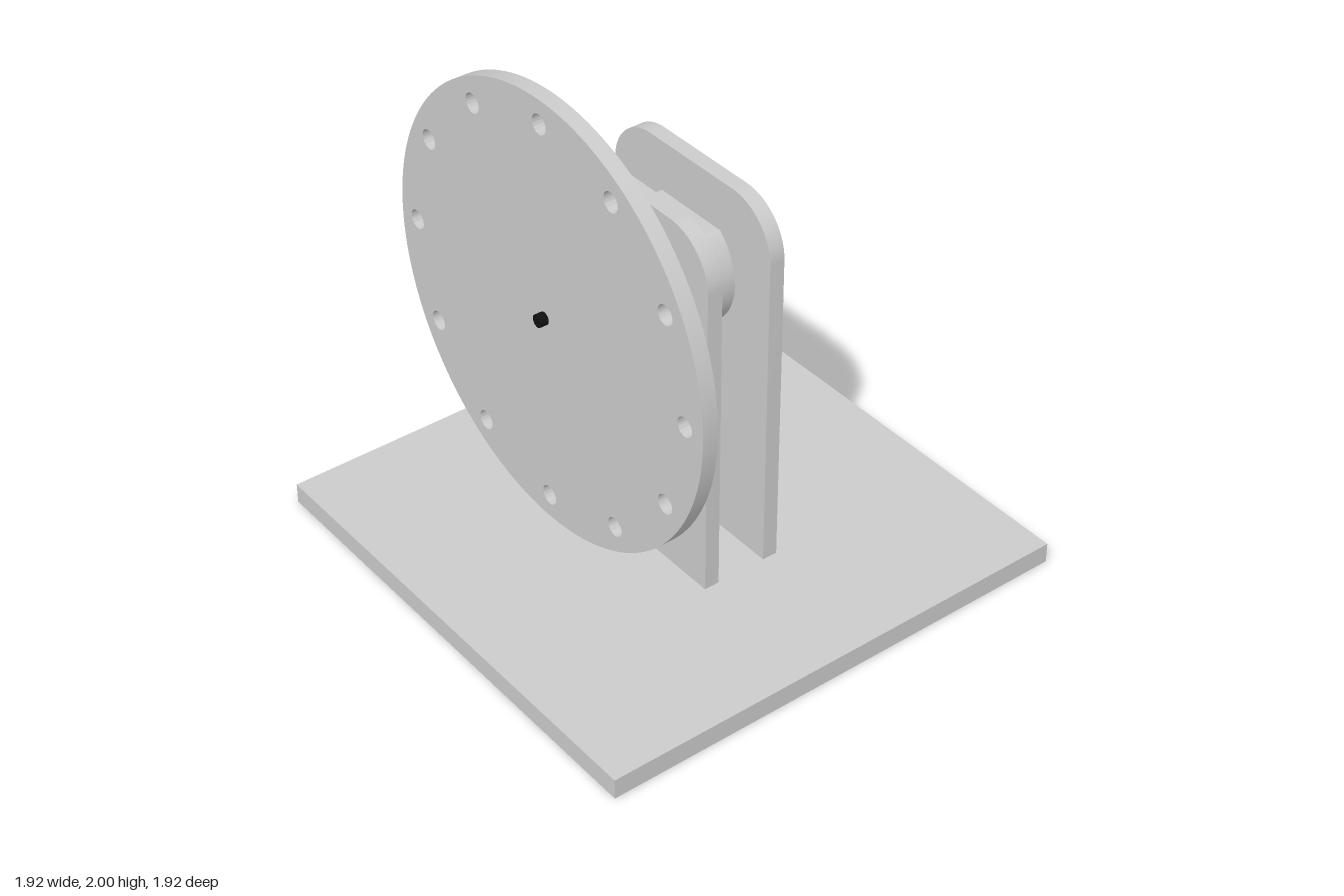
import * as THREE from 'three';
import { toCreasedNormals } from 'three/addons/utils/BufferGeometryUtils.js';

const AXIS_Y = 1.165; // height of the motor shaft
const FLAT = 0.18; // half height between the motor's two flats
const CAN_R = 0.24;

const paint = (color) => new THREE.MeshStandardMaterial({ color });
const grey = paint(0xcccccc);
const black = paint(0x111111);
const copper = paint(0xb85c0a);

function part(parent, name, geometry, material = grey) {
  const mesh = new THREE.Mesh(geometry, material);
  mesh.name = name;
  parent.add(mesh);
  return mesh;
}

// Flat sheet cut from a shape, from z to z + depth
function sheet(shape, z, depth, curveSegments = 24) {
  const g = new THREE.ExtrudeGeometry(shape, { depth, bevelEnabled: false, curveSegments });
  g.translate(0, 0, z);
  return toCreasedNormals(g, 0.5);
}

function circle(x, y, r, Type = THREE.Path) {
  return new Type().absarc(x, y, r, 0, Math.PI * 2, false);
}

// Rounded slot lying along x
function slot(x, y, halfLength, r, Type = THREE.Path) {
  const p = new Type();
  p.absarc(x + halfLength, y, r, -Math.PI / 2, Math.PI / 2, false);
  p.absarc(x - halfLength, y, r, Math.PI / 2, Math.PI * 1.5, false);
  p.closePath();
  return p;
}

// Cylinder along z between two depths
function rod(r, z0, z1, sides = 32) {
  const g = new THREE.CylinderGeometry(r, r, z1 - z0, sides);
  g.rotateX(Math.PI / 2);
  g.translate(0, 0, (z0 + z1) / 2);
  return g;
}

// Turned along z, then cut flat above and below; optional grooves on both sides
function turned(profile, grooveR = Infinity) {
  const g = new THREE.LatheGeometry(profile.map(([r, z]) => new THREE.Vector2(r, z)), 144);
  g.rotateX(Math.PI / 2);
  const p = g.attributes.position;
  for (let i = 0; i < p.count; i++) {
    let x = p.getX(i), y = p.getY(i);
    const r = Math.hypot(x, y);
    const angle = Math.atan2(Math.abs(y), Math.abs(x));
    if (angle < 0.18 && r > grooveR) {
      // U-shaped groove floor
      const k = (grooveR + 0.03 * (angle / 0.18) ** 2) / r;
      x *= Math.min(1, k);
      y *= Math.min(1, k);
    }
    p.setXY(i, x, THREE.MathUtils.clamp(y, -FLAT, FLAT));
  }
  return toCreasedNormals(g, 0.5);
}

// Quarter-round profile points from the rim to an end face
function rounded(r, z, radius, dir) {
  return Array.from({ length: 7 }, (_, i) => {
    const a = (i / 6) * Math.PI / 2;
    return [r - radius + radius * Math.cos(a), z + dir * radius * (Math.sin(a) - 1)];
  });
}

// Upright with rounded top corners, a foot tab and an opening for the motor
function uprightShape(top) {
  const w = 0.42, r = 0.2, foot = 0.095, tab = 0.12;
  const s = new THREE.Shape();
  s.moveTo(-tab, 0.08);
  s.lineTo(tab, 0.08);
  s.lineTo(tab, foot);
  s.lineTo(w, foot);
  s.absarc(w - r, top - r, r, 0, Math.PI / 2, false);
  s.absarc(-w + r, top - r, r, Math.PI / 2, Math.PI, false);
  s.lineTo(-w, foot);
  s.lineTo(-tab, foot);
  s.closePath();
  const a = Math.asin(FLAT / CAN_R);
  const hole = new THREE.Path();
  hole.absarc(0, AXIS_Y, CAN_R, -a, a, false);
  hole.absarc(0, AXIS_Y, CAN_R, Math.PI - a, Math.PI + a, false);
  hole.closePath();
  s.holes.push(hole);
  return s;
}

function createMotor() {
  const motor = new THREE.Group();
  motor.name = 'motor';
  motor.position.y = AXIS_Y;

  // Can with a rounded front rim
  part(motor, 'motorCan', turned([
    [0, -0.165], [CAN_R, -0.165], ...rounded(CAN_R, 0.31, 0.045, 1), [0, 0.31],
  ]));

  // Rear cap with side grooves
  part(motor, 'rearCap', turned([
    [0, -0.295], ...rounded(CAN_R - 0.002, -0.295, 0.06, -1).reverse(),
    [CAN_R - 0.002, -0.165], [0, -0.165],
  ], 0.175));

  part(motor, 'frontBearing', rod(0.07, 0.3, 0.352));

  // Rear bearing housing with a slot above and below the shaft
  const housing = circle(0, 0, 0.115, THREE.Shape);
  housing.holes.push(slot(0, 0.06, 0.05, 0.012), slot(0, -0.06, 0.05, 0.012));
  part(motor, 'rearBearing', sheet(housing, -0.35, 0.06));

  part(motor, 'shaft', rod(0.024, -0.368, 0.54, 24), black);

  // Terminal block with a rounded rear edge
  const block = new THREE.Shape();
  block.moveTo(0.17, 0.1);
  block.lineTo(0.285, 0.1);
  block.absarc(0.26, 0.18, 0.025, 0, Math.PI / 2, false);
  block.lineTo(0.18, 0.205);
  block.lineTo(0.17, 0.195);
  block.closePath();
  const blockGeometry = sheet(block, -0.09, 0.18);
  blockGeometry.rotateY(Math.PI / 2);
  part(motor, 'terminalBlock', blockGeometry);

  // Contact tabs with slotted ends
  for (const side of [-1, 1]) {
    const tab = slot(0.115, 0, 0.05, 0.023, THREE.Shape);
    tab.holes.push(slot(0.145, 0, 0.013, 0.012));
    const g = sheet(tab, 0, 0.014, 12);
    g.rotateX(-Math.PI / 2);
    if (side < 0) g.rotateY(Math.PI);
    g.translate(0, 0.18, -0.227);
    part(motor, side > 0 ? 'leftTerminal' : 'rightTerminal', g, copper);
  }
  return motor;
}

export function createModel() {
  const model = new THREE.Group();
  model.name = 'motorStand';

  part(model, 'base', new THREE.BoxGeometry(1.92, 0.08, 1.92)).position.y = 0.04;
  part(model, 'frontUpright', sheet(uprightShape(1.53), 0.1, 0.06));
  part(model, 'rearUpright', sheet(uprightShape(1.54), -0.16, 0.06));
  model.add(createMotor());

  // Disc with a ring of twelve holes
  const disc = circle(0, AXIS_Y, 0.837, THREE.Shape);
  for (let i = 0; i < 12; i++) {
    const a = (i / 12) * Math.PI * 2;
    disc.holes.push(circle(0.745 * Math.cos(a), AXIS_Y + 0.745 * Math.sin(a), 0.037));
  }
  part(model, 'disc', sheet(disc, 0.45, 0.06, 72));

  return model;
}
